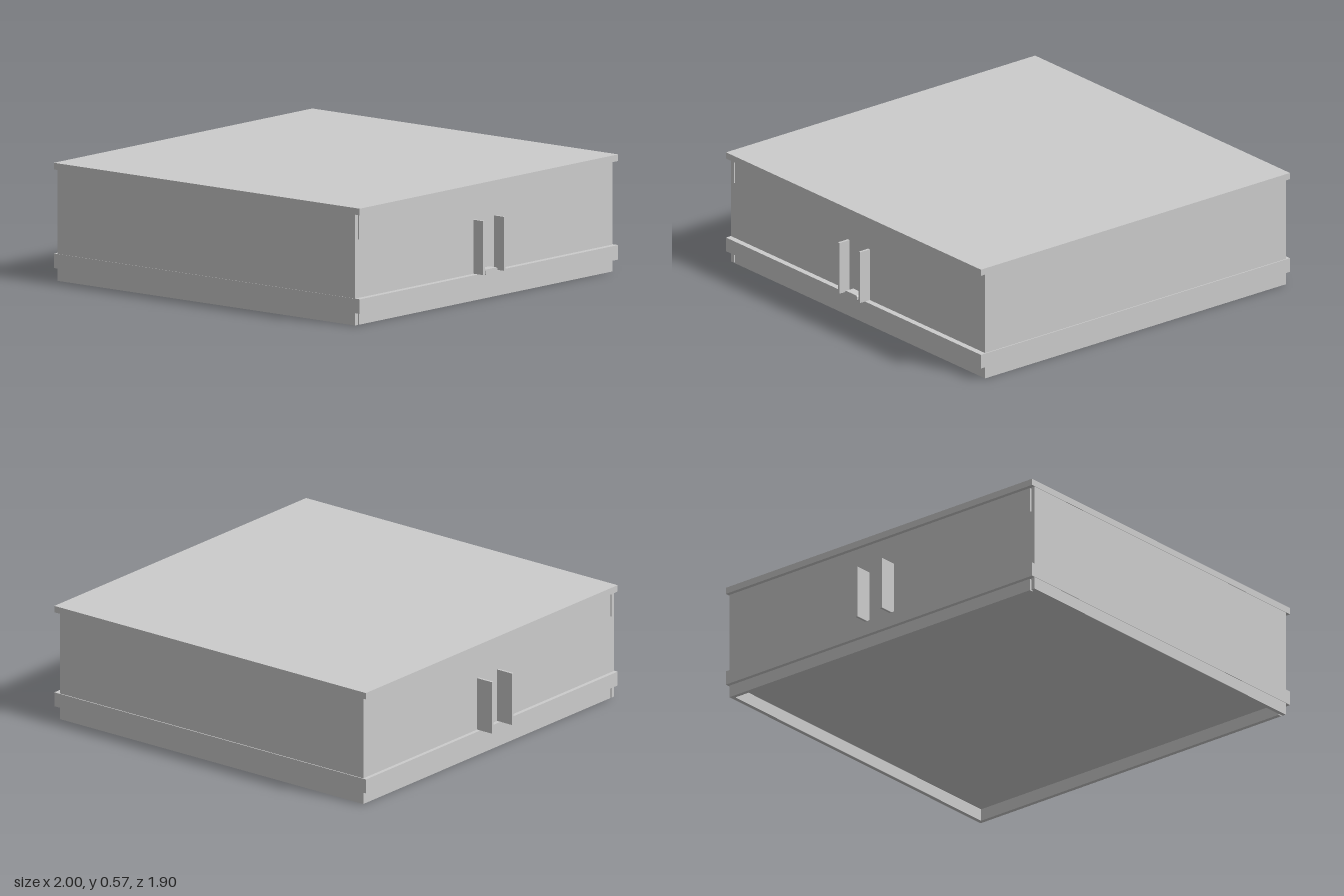
import * as THREE from 'three';

export function createModel() {
  const model = new THREE.Group();
  const material = new THREE.MeshStandardMaterial({ color: 0xcccccc, flatShading: true });

  // Box given by its extents along each axis
  function block(name, [x0, x1], [y0, y1], [z0, z1]) {
    const mesh = new THREE.Mesh(new THREE.BoxGeometry(x1 - x0, y1 - y0, z1 - z0), material);
    mesh.name = name;
    mesh.position.set((x0 + x1) / 2, (y0 + y1) / 2, (z0 + z1) / 2);
    model.add(mesh);
    return mesh;
  }

  const left = -0.91, right = 0.94, wall = 0.02;
  const wallHeight = [0, 0.54];

  // Lid, and the base slab whose edge forms the lower band
  block('lid', [-0.93, 0.97], [0.535, 0.567], [-0.95, 0.95]);
  block('base', [-0.93, 0.97], [0.06, 0.13], [-0.95, 0.95]);

  // Walls run below the base as a skirt; the front panel stands off by a slit
  block('sideWallLeft', [right - wall, right], wallHeight, [-0.945, 0.92]);
  block('sideWallRight', [left, left + wall], wallHeight, [-0.945, 0.92]);
  block('backWall', [left + wall, right - wall], wallHeight, [-0.945, -0.925]);
  block('frontPanel', [left, right], wallHeight, [0.928, 0.948]);

  // Spacers in the slit behind the front panel
  for (const x of [left, right - wall]) {
    block('spacer', [x, x + wall], [0.13, 0.41], [0.919, 0.929]);
  }

  // Pairs of upright plates on both sides
  for (const z of [0.072, -0.08]) {
    block('sidePlate', [right - 0.01, 1], [0.13, 0.39], [z - 0.006, z + 0.006]);
    block('sidePlate', [-1, left + 0.01], [0.13, 0.39], [z - 0.006, z + 0.006]);
  }

  // Small latch bar with chamfered corners
  const w = 0.045, h = 0.014, c = 0.007;
  const outline = new THREE.Shape([
    [-w + c, -h], [w - c, -h], [w, -h + c], [w, h - c],
    [w - c, h], [-w + c, h], [-w, h - c], [-w, -h + c],
  ].map(([x, y]) => new THREE.Vector2(x, y)));
  const latch = new THREE.Mesh(
    new THREE.ExtrudeGeometry(outline, { depth: 0.05, bevelEnabled: false }), material);
  latch.name = 'latch';
  latch.rotation.y = Math.PI / 2;
  latch.position.set(0.935, 0.136, 0);
  model.add(latch);

  return model;
}
